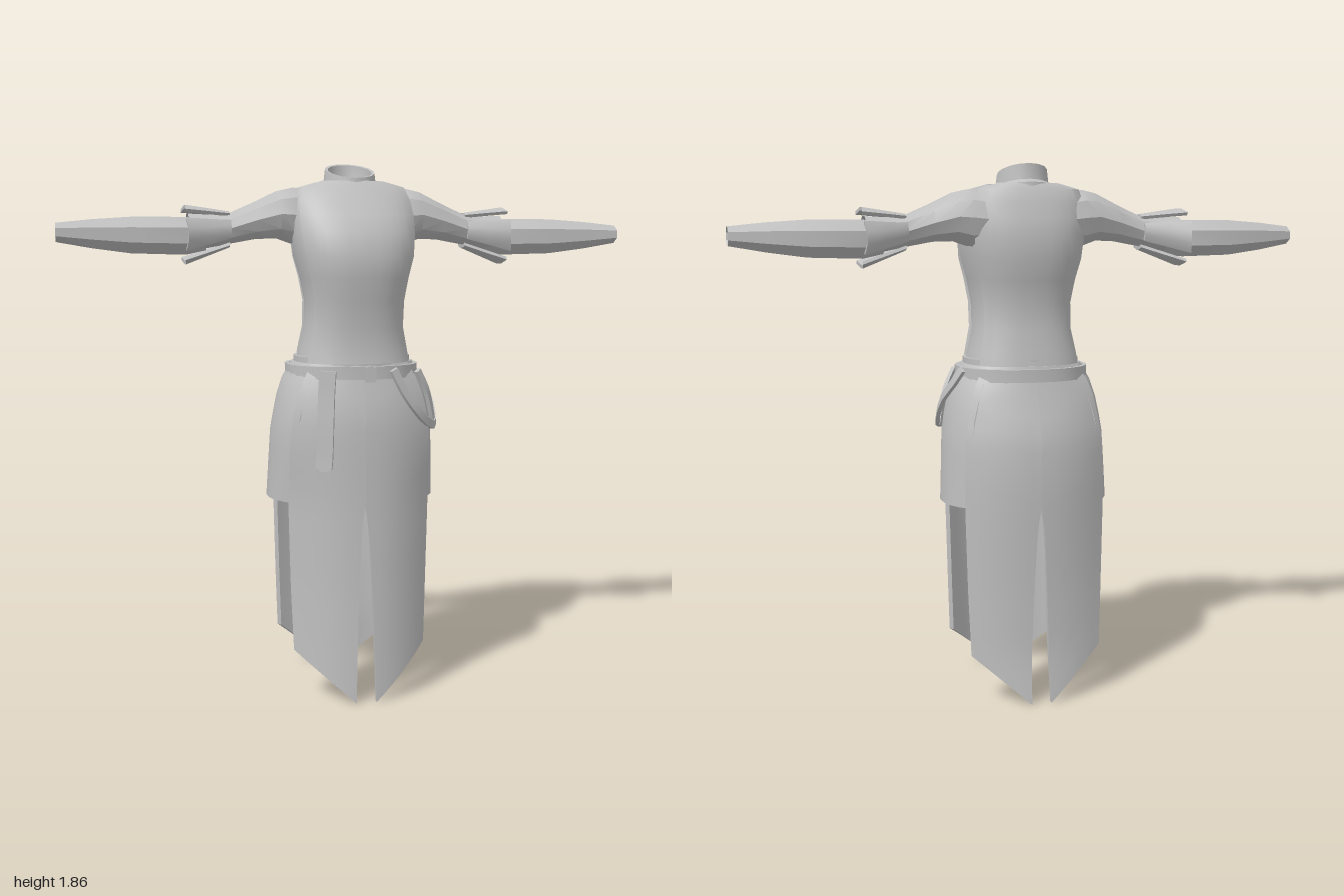
import * as THREE from 'three';
import { mergeGeometries, toCreasedNormals } from 'three/addons/utils/BufferGeometryUtils.js';

const cloth = new THREE.MeshStandardMaterial({ color: 0xbfbfbf, side: THREE.DoubleSide });
cloth.name = 'grey cloth';

// Linear interpolation in a table of [key, ...values]
function at(rows, key) {
  let i = 0;
  const s = Math.sign(rows[1][0] - rows[0][0]);
  while (i < rows.length - 2 && (key - rows[i + 1][0]) * s > 0) i++;
  const a = rows[i], b = rows[i + 1];
  const t = THREE.MathUtils.clamp((key - a[0]) / (b[0] - a[0]), 0, 1);
  return a.slice(1).map((v, k) => v + (b[k + 1] - v) * t);
}

// Surface patch from f(u, v) -> [x, y, z]
function sheet(f, nu, nv) {
  const pos = [], idx = [], w = nu + 1;
  for (let j = 0; j <= nv; j++) for (let i = 0; i <= nu; i++) pos.push(...f(i / nu, j / nv));
  for (let j = 0; j < nv; j++) for (let i = 0; i < nu; i++) {
    const a = j * w + i;
    idx.push(a, a + 1, a + w, a + 1, a + w + 1, a + w);
  }
  const g = new THREE.BufferGeometry();
  g.setAttribute('position', new THREE.Float32BufferAttribute(pos, 3));
  g.setIndex(idx);
  return g;
}

// Thick panel from f(u, v, k): k = 0 inside, k = 1 outside, with rims on all edges
function slab(f, nu, nv) {
  return mergeGeometries([
    sheet((u, v) => f(u, v, 1), nu, nv),
    sheet((u, v) => f(u, v, 0), nu, nv),
    ...[0, 1].map((e) => sheet((u, k) => f(u, e, k), nu, 1)),
    ...[0, 1].map((e) => sheet((v, k) => f(e, v, k), nv, 1)),
  ]);
}

const power = (c, n) => Math.sign(c) * Math.abs(c) ** (2 / n);

// [y, half width, front z, back z]
const TORSO = [
  [1.18, 0.19, 0.185, -0.15], [1.22, 0.183, 0.18, -0.145], [1.3, 0.165, 0.18, -0.132],
  [1.39, 0.165, 0.195, -0.128], [1.47, 0.18, 0.21, -0.145], [1.54, 0.2, 0.217, -0.162],
  [1.62, 0.21, 0.195, -0.165], [1.68, 0.212, 0.16, -0.155], [1.73, 0.208, 0.12, -0.138],
  [1.765, 0.19, 0.088, -0.125], [1.785, 0.11, 0.07, -0.11],
];
function torsoPoint(y, a, out) {
  const [w, zf, zb] = at(TORSO, y), n = 2.5;
  return [(w + out) * power(Math.sin(a), n), y + out * (y > 1.74 ? 0.8 : 0),
    (zf + zb) / 2 + ((zf - zb) / 2 + out) * power(Math.cos(a), n)];
}

// [y, outer edge x, centre z, edge z]
const FRONT = [[1.18, 0.17, 0.19, 0.14], [1.1, 0.212, 0.208, 0.155], [1, 0.238, 0.228, 0.16],
  [0.9, 0.248, 0.23, 0.155], [0.7, 0.25, 0.23, 0.13], [0.4, 0.243, 0.235, 0.13], [0.18, 0.235, 0.243, 0.14], [0, 0.233, 0.25, 0.15]];
const BACK = [[1.18, 0.17, -0.17, -0.11], [1.1, 0.212, -0.19, -0.14], [0.94, 0.245, -0.238, -0.16],
  [0.8, 0.25, -0.245, -0.165], [0.7, 0.25, -0.243, -0.165], [0.4, 0.243, -0.232, -0.17], [0.18, 0.235, -0.232, -0.18], [0, 0.233, -0.252, -0.185]];

// Half of a skirt panel, pointed at the bottom beside the centre slit
function skirtHalf(table, s) {
  return slab((u, v, k) => {
    const hem = 0.005 + 0.175 * u;
    const y = 1.18 + (hem - 1.18) * v;
    const [xe, zc, ze] = at(table, y);
    const gap = y < 0.7 ? 0.036 * Math.sqrt((0.7 - y) / 0.7) : 0;
    const x = gap + (xe - gap) * u;
    const z = ze + (zc - ze) * (1 - (x / xe) ** 2.2);
    const inset = (1 - k) * 0.018;
    return [s * (x - inset * 0.6 * u), y, z - Math.sign(zc) * inset];
  }, 7, 20);
}

// Hip panel tucked under the front and back skirt panels
const HIP = [[1.18, 0.212], [1.1, 0.254], [0.95, 0.282], [0.7, 0.296]];
function hipPanel(s) {
  return slab((u, v, k) => {
    const y = 1.18 - 0.48 * v, t = (u * 2 - 1) * 1.08;
    const [xf, , zf] = at(FRONT, y), [, , zb] = at(BACK, y), [xm] = at(HIP, y);
    const x = xf - 0.012 + (xm - xf + 0.012) * (1 - Math.abs(t) ** 2.4);
    return [s * (x - (1 - k) * 0.014), y, (zf + zb) / 2 + t * (zf - zb) / 2];
  }, 8, 8);
}

// Band round the waist
function belt(y0, y1, rx, zf, zb, thick) {
  return slab((u, v, k) => {
    const a = u * Math.PI * 2, o = k * thick;
    return [(rx + o) * power(Math.sin(a), 2.3), y0 + (y1 - y0) * v,
      (zf + zb) / 2 + ((zf - zb) / 2 + o) * power(Math.cos(a), 2.3)];
  }, 28, 1);
}

// Flat strap along a path, lying against the body
function strap(points, width, thick, tip = 0) {
  const curve = new THREE.CatmullRomCurve3(points.map((p) => new THREE.Vector3(...p)));
  return slab((u, v, k) => {
    const p = curve.getPoint(v);
    const out = new THREE.Vector3(p.x, 0, p.z * 1.4).normalize();
    const side = curve.getTangent(v).cross(out).normalize();
    const narrow = v === 1 && tip ? 0.15 : 1;
    return p.addScaledVector(side, (u - 0.5) * width * narrow).addScaledVector(out, k * thick).toArray();
  }, 1, 14);
}

// Sleeve tube from rings [x, y centre, z centre, y radius, z radius]
function sleeve(rings, s, sides) {
  return sheet((u, v) => {
    const [x, yc, zc, ry, rz] = rings[Math.round(v * (rings.length - 1))];
    const a = u * Math.PI * 2 + Math.PI / sides;
    return [s * x, yc + ry * Math.cos(a), zc + rz * Math.sin(a)];
  }, sides, rings.length - 1);
}
const UPPER = [[0.15, 1.675, -0.04, 0.095, 0.1], [0.2, 1.68, -0.035, 0.1, 0.1], [0.25, 1.683, -0.033, 0.085, 0.093],
  [0.33, 1.663, -0.033, 0.066, 0.08], [0.42, 1.635, -0.033, 0.054, 0.069], [0.5, 1.625, -0.045, 0.06, 0.073], [0.56, 1.62, -0.05, 0.068, 0.08]];
const LOWER = [[0.5, 1.612, -0.053, 0.055, 0.065], [0.57, 1.61, -0.055, 0.069, 0.082], [0.75, 1.612, -0.052, 0.066, 0.078],
  [0.88, 1.616, -0.043, 0.052, 0.066], [1, 1.62, -0.03, 0.034, 0.053], [0.99, 1.62, -0.03, 0.028, 0.045], [0.93, 1.617, -0.037, 0.026, 0.04]];

// Flared cuff petal at the elbow
function petal(s, mid) {
  return slab((u, v, k) => {
    const a = mid + (u - 0.5) * (1.05 + 0.1 * v), o = k * 0.012;
    const x = 0.42 + (0.145 + 0.02 * Math.abs(u - 0.5)) * v;
    return [s * x, 1.632 - 0.018 * v + (0.05 + 0.04 * v + o) * Math.cos(a),
      -0.035 - 0.015 * v + (0.064 + 0.048 * v + o) * Math.sin(a)];
  }, 3, 2);
}

// Tilted collar rings: [x radius, z radius, front y, back y]
const COLLAR = [[0.12, 0.128, 1.715, 1.785], [0.118, 0.126, 1.735, 1.8], [0.108, 0.112, 1.75, 1.805], [0.092, 0.098, 1.762, 1.81],
  [0.086, 0.093, 1.805, 1.862], [0.076, 0.082, 1.806, 1.858], [0.076, 0.08, 1.77, 1.8], [0.06, 0.06, 1.72, 1.74]];

export function createModel() {
  const model = new THREE.Group();
  model.name = 'tunicOutfit';
  const add = (name, geometry, crease = 0.6) => {
    const mesh = new THREE.Mesh(toCreasedNormals(geometry, crease), cloth);
    mesh.name = name;
    model.add(mesh);
  };

  // Bodice with raised front and back panels
  const rows = TORSO.length - 1;
  add('bodice', sheet((u, v) => torsoPoint(TORSO[Math.round(v * rows)][0], u * Math.PI * 2, 0), 28, rows), 0.9);
  const bodicePanel = (mid, half) => slab((u, v, k) =>
    torsoPoint(TORSO[Math.round(v * rows)][0], mid + (u * 2 - 1) * half, -0.004 + k * 0.018), 12, rows);
  add('frontBodicePanel', bodicePanel(0, 1.02), 0.8);
  add('backBodicePanel', bodicePanel(Math.PI, 1), 0.8);
  add('collar', sheet((u, v) => {
    const [rx, rz, yf, yb] = COLLAR[Math.round(v * (COLLAR.length - 1))];
    const c = Math.cos(u * Math.PI * 2);
    return [rx * Math.sin(u * Math.PI * 2), (yf + yb) / 2 + c * (yf - yb) / 2, -0.005 + rz * c];
  }, 16, COLLAR.length - 1));

  // Mirrored sleeves, cuffs and skirt
  for (const [side, s] of [['left', 1], ['right', -1]]) {
    add(side + 'UpperSleeve', sleeve(UPPER, s, 10));
    add(side + 'Forearm', sleeve(LOWER, s, 8));
    for (let i = 0; i < 4; i++) add(side + 'CuffPetal', petal(s, i * Math.PI / 2));
    add(side + 'FrontSkirt', skirtHalf(FRONT, s));
    add(side + 'BackSkirt', skirtHalf(BACK, s));
    add(side + 'HipPanel', hipPanel(s));
  }

  // Belts and hanging straps
  add('waistBand', belt(1.155, 1.2, 0.19, 0.18, -0.15, 0.012));
  add('belt', belt(1.128, 1.172, 0.217, 0.197, -0.178, 0.014));
  add('hangingStrap', strap([[-0.125, 1.16, 0.208], [-0.13, 1.08, 0.208], [-0.134, 0.98, 0.212],
    [-0.138, 0.86, 0.212], [-0.142, 0.82, 0.212]], 0.056, 0.014, 1));
  add('drapedStrap', strap([[0.1, 1.16, 0.2], [0.14, 1.08, 0.2], [0.2, 1.0, 0.185], [0.262, 0.955, 0.12],
    [0.281, 0.985, 0.07], [0.272, 1.06, 0.02], [0.245, 1.12, -0.03], [0.222, 1.165, -0.05]], 0.028, 0.014));
  add('sideStrap', strap([[0.2, 1.15, 0.14], [0.235, 1.08, 0.13], [0.258, 1.0, 0.115], [0.27, 0.95, 0.1]], 0.026, 0.014));
  const buckle = new THREE.BoxGeometry(0.035, 0.05, 0.02);
  buckle.translate(0.02, 1.145, 0.212);
  add('buckle', buckle);
  return model;
}
